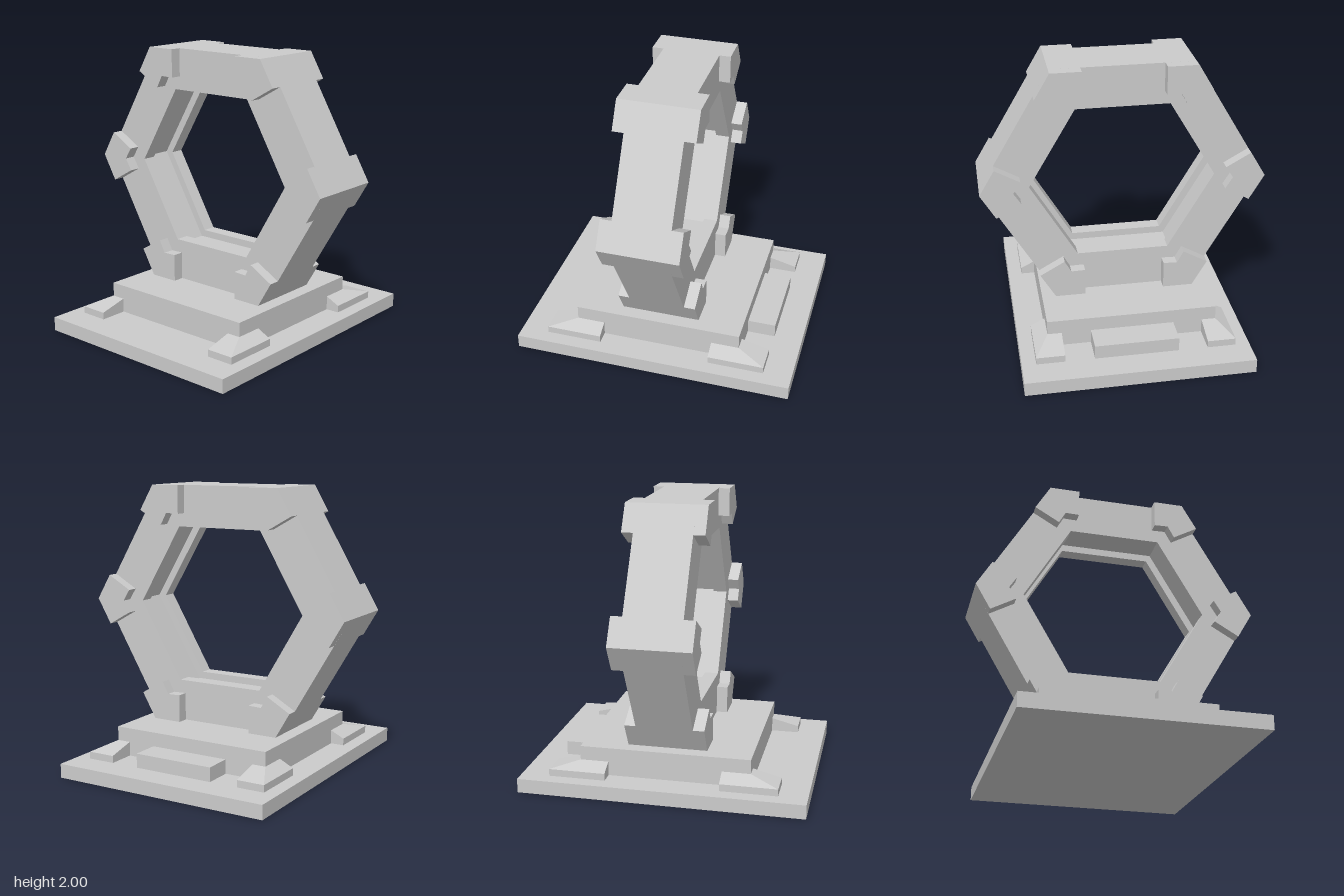
import * as THREE from 'three';

const material = new THREE.MeshStandardMaterial({ color: 0xcccccc, flatShading: true });
const RING_Y = 1.15;
const SQUASH = 0.85 / (Math.sqrt(3) / 2); // ring is 2 wide, 1.7 tall

function add(parent, name, geometry, x = 0, y = 0, z = 0) {
  const mesh = new THREE.Mesh(geometry, material);
  mesh.name = name;
  mesh.position.set(x, y, z);
  parent.add(mesh);
  return mesh;
}

// Six-sided ring swept from one cross-section, with a channel along its inner wall
function ringGeometry() {
  const section = [
    [1, -0.2], [1, 0.2], [0.655, 0.2], [0.655, 0.1], [0.715, 0.1],
    [0.715, -0.1], [0.655, -0.1], [0.655, -0.2], [1, -0.2],
  ].map(([r, h]) => new THREE.Vector2(r, h));
  const geometry = new THREE.LatheGeometry(section, 6).toNonIndexed();
  geometry.rotateX(Math.PI / 2).rotateZ(Math.PI / 6).scale(1, SQUASH, 1);
  geometry.computeVertexNormals();
  return geometry;
}

// Raised chevron plate that wraps a ring corner (drawn for the corner on +x)
function clampGeometry() {
  const outline = [
    [1, 0], [0.893, 0.185], [0.718, 0.084], [0.77, 0], [0.718, -0.084], [0.893, -0.185],
  ].map(([x, y]) => new THREE.Vector2(x, y));
  return new THREE.ExtrudeGeometry(new THREE.Shape(outline), { depth: 0.08, bevelEnabled: false });
}

// L-shaped sloped foot hugging one corner of the plinth
function footGeometry(sx, sz) {
  // inner x, inner z, outer x, outer z
  const path = [
    [0.5, 0.6, 0.5, 0.8],
    [0.6, 0.6, 0.7, 0.8],
    [0.6, 0.4, 0.7, 0.4],
  ];
  if (sx * sz < 0) path.reverse();
  const rings = path.map(([ix, iz, ox, oz]) => [
    [ix * sx, 0.1, iz * sz], [ox * sx, 0.1, oz * sz],
    [ox * sx, 0.15, oz * sz], [ix * sx, 0.2, iz * sz],
  ]);
  const positions = [];
  const quad = (a, b, c, d) => positions.push(...a, ...b, ...c, ...a, ...c, ...d);
  for (let s = 0; s < 2; s++) {
    for (let i = 0; i < 4; i++) {
      const j = (i + 1) % 4;
      quad(rings[s][i], rings[s + 1][i], rings[s + 1][j], rings[s][j]);
    }
  }
  quad(...rings[0]);
  quad(...[...rings[2]].reverse());
  const geometry = new THREE.BufferGeometry();
  geometry.setAttribute('position', new THREE.Float32BufferAttribute(positions, 3));
  geometry.computeVertexNormals();
  return geometry;
}

export function createModel() {
  const model = new THREE.Group();
  model.name = 'hexagonalGate';

  // Stepped base
  const base = new THREE.Group();
  base.name = 'base';
  model.add(base);
  add(base, 'groundSlab', new THREE.BoxGeometry(1.6, 0.1, 2), 0, 0.05, 0);
  add(base, 'plinth', new THREE.BoxGeometry(1.2, 0.2, 1.2), 0, 0.2, 0);
  add(base, 'rearStep', new THREE.BoxGeometry(0.59, 0.1, 0.2), 0, 0.15, -0.7);
  for (const sx of [1, -1]) {
    for (const sz of [1, -1]) add(base, 'cornerFoot', footGeometry(sx, sz));
  }

  // Upright ring
  add(model, 'ring', ringGeometry(), 0, RING_Y, 0);

  // Clamps on all six corners, front and back
  const clamps = new THREE.Group();
  clamps.name = 'cornerClamps';
  model.add(clamps);
  for (let i = 0; i < 6; i++) {
    const geometry = clampGeometry().rotateZ((i * Math.PI) / 3).scale(1, SQUASH, 1);
    add(clamps, 'frontClamp', geometry, 0, RING_Y, 0.2);
    add(clamps, 'backClamp', geometry, 0, RING_Y, -0.28);
  }
  return model;
}
